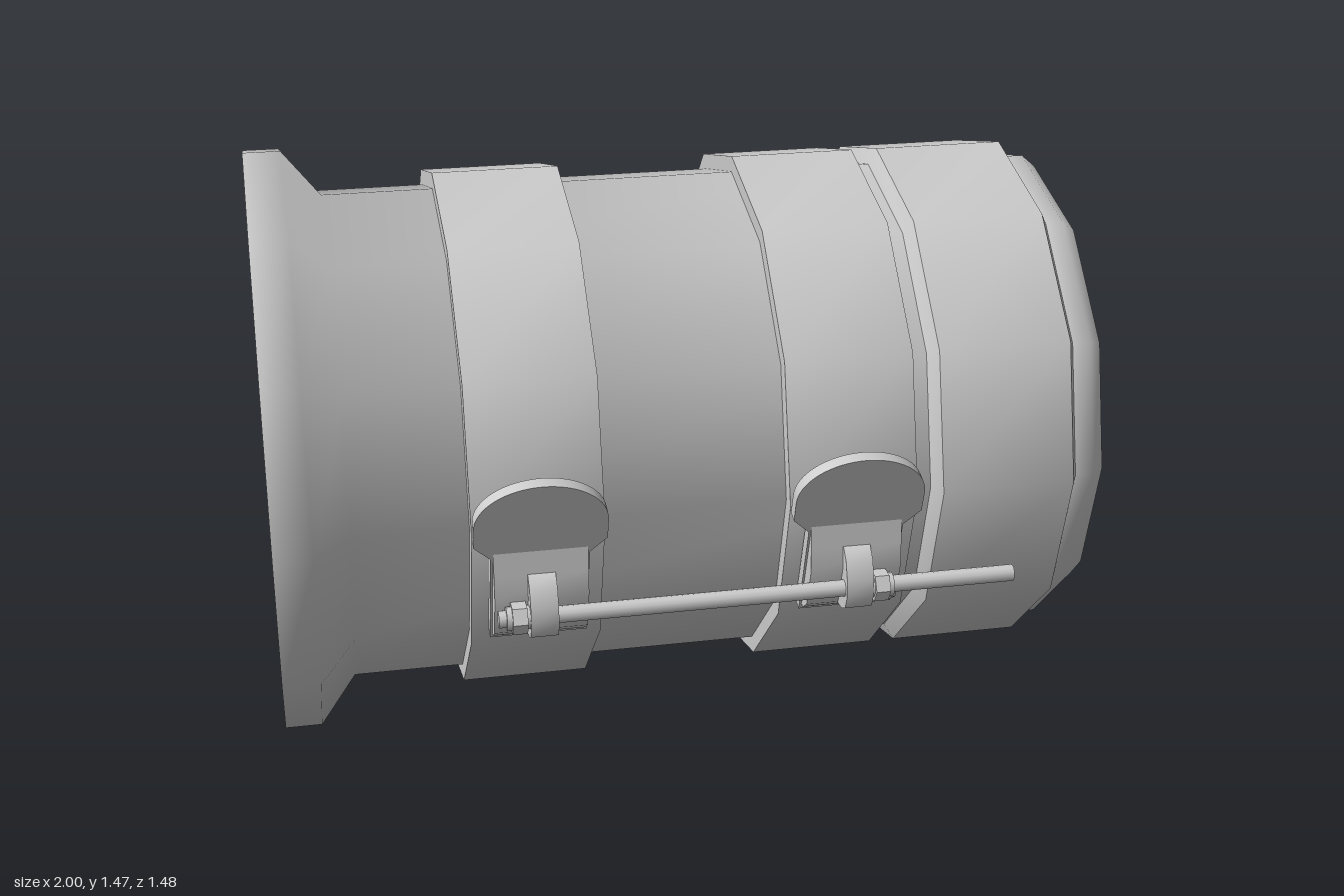
import * as THREE from 'three';
import { toCreasedNormals } from 'three/addons/utils/BufferGeometryUtils.js';

const CY = 0.74, CZ = -0.005;

export function createModel() {
  const model = new THREE.Group();
  const material = new THREE.MeshStandardMaterial({ color: 0xcccccc });

  function add(name, geometry, x = 0, y = 0, z = 0, parent = model) {
    const mesh = new THREE.Mesh(geometry, material);
    mesh.name = name;
    mesh.position.set(x, y, z);
    parent.add(mesh);
    return mesh;
  }

  // Twelve-sided turned shape along x, from [x, radius] pairs
  function turned(profile) {
    const points = profile.map(([x, r]) => new THREE.Vector2(r, x));
    const geometry = new THREE.LatheGeometry(points, 12).rotateZ(-Math.PI / 2);
    return toCreasedNormals(geometry, 1.0);
  }

  // Side profile of [z, y] pairs, extruded across x and centred
  function sideProfile(points, width) {
    const shape = new THREE.Shape(points.map(([z, y]) => new THREE.Vector2(z, y)));
    const geometry = new THREE.ExtrudeGeometry(shape, { depth: width, bevelEnabled: false });
    geometry.translate(0, 0, -width / 2).rotateY(-Math.PI / 2);
    return toCreasedNormals(geometry, 0.8);
  }

  // Hollow body: closed flange at -x, stepped collar and open mouth at +x
  add('body', turned([
    [-1, 0], [-1, 0.735], [-0.91, 0.735], [-0.82, 0.62], [0.555, 0.62],
    [0.575, 0.66], [0.9, 0.66], [0.92, 0.62], [0.965, 0.62], [1, 0.59],
    [0.985, 0.56], [-0.95, 0.56], [-0.95, 0],
  ]), 0, CY, CZ);

  // Clamp bands, each with a tongue, raised block and lug
  [-0.395, 0.355].forEach((x) => {
    const clamp = new THREE.Group();
    clamp.name = 'clamp';
    clamp.position.x = x;
    model.add(clamp);

    const half = 0.155;
    add('band', turned([[-half, 0.6], [-half, 0.66], [half, 0.66], [half, 0.6]]), 0, CY, CZ, clamp);

    const outline = new THREE.Shape();
    outline.moveTo(-0.115, 0);
    outline.lineTo(0.115, 0);
    outline.lineTo(0.115, 0.25);
    outline.lineTo(half, 0.29);
    outline.lineTo(half, 0.345);
    outline.absellipse(0, 0.345, half, 0.115, 0, Math.PI, false);
    outline.lineTo(-half, 0.29);
    outline.lineTo(-0.115, 0.25);
    const plate = new THREE.ExtrudeGeometry(outline, { depth: 0.03, bevelEnabled: false, curveSegments: 16 });
    const tongue = add('tongue', toCreasedNormals(plate, 0.7), 0, 0.45, 0.578, clamp);
    tongue.rotation.x = THREE.MathUtils.degToRad(16.5);

    add('block', sideProfile([
      [0.59, 0.46], [0.625, 0.455], [0.66, 0.48], [0.69, 0.58], [0.686, 0.64], [0.682, 0.7], [0.65, 0.7],
    ], 0.22), 0, 0, 0, clamp);
    add('lug', sideProfile([
      [0.6, 0.475], [0.69, 0.478], [0.722, 0.495], [0.735, 0.53], [0.732, 0.57],
      [0.715, 0.615], [0.69, 0.64], [0.63, 0.64],
    ], 0.065), 0, 0, 0, clamp);
  });

  // Threaded rod with a hex nut outside each lug
  const rodY = 0.54, rodZ = 0.705;
  add('rod', new THREE.CylinderGeometry(0.02, 0.02, 1.24, 12).rotateZ(Math.PI / 2), 0.12, rodY, rodZ);
  [-0.452, 0.41].forEach((x) => {
    const nut = new THREE.CylinderGeometry(0.038, 0.038, 0.035, 6).rotateZ(Math.PI / 2);
    add('nut', toCreasedNormals(nut, 0.5), x, rodY, rodZ);
    const washer = new THREE.CylinderGeometry(0.028, 0.028, 0.06, 12).rotateZ(Math.PI / 2);
    add('washer', washer, x, rodY, rodZ);
  });

  return model;
}
